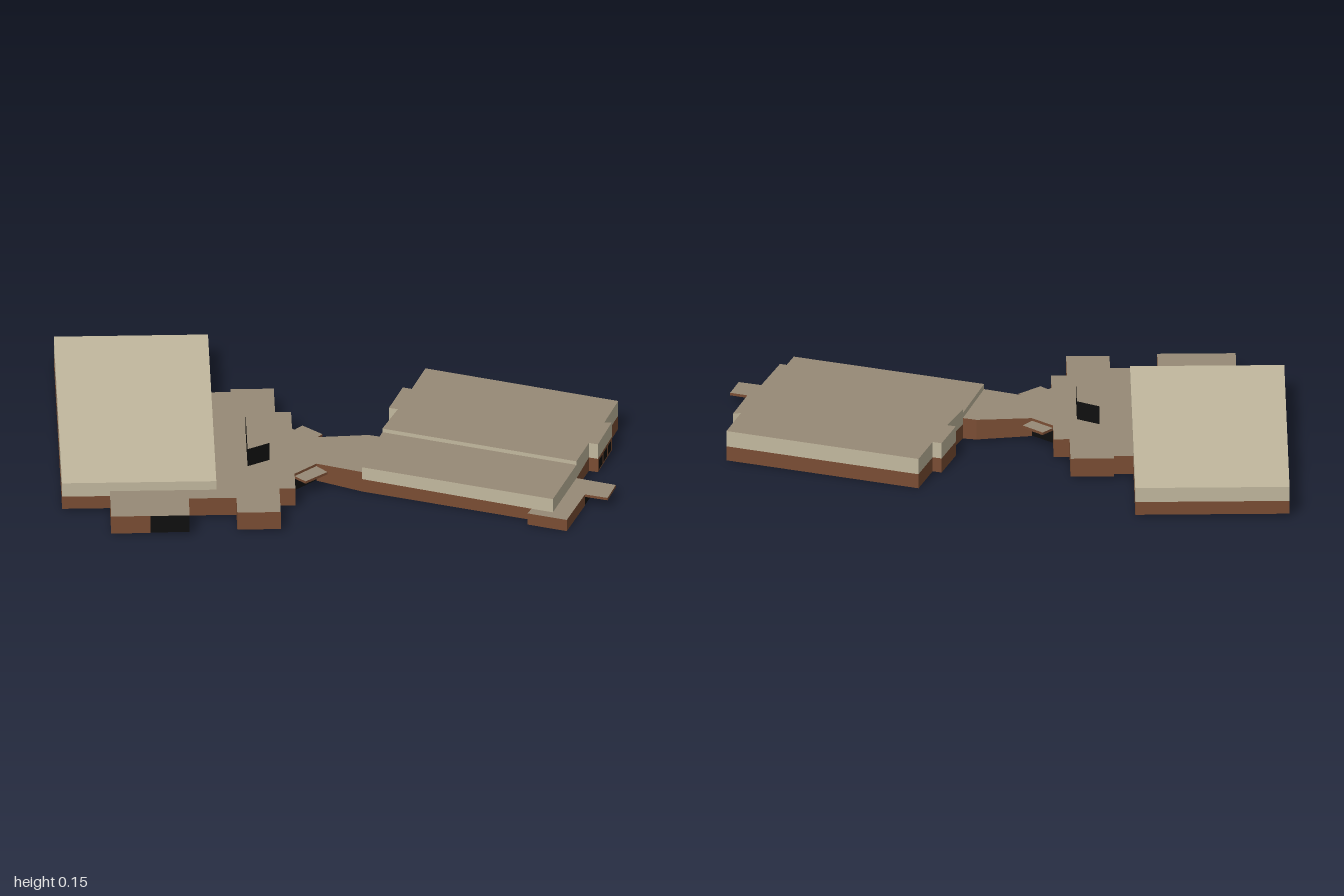
import * as THREE from 'three';

const mat = (name, color) => {
  const m = new THREE.MeshStandardMaterial({ color, side: THREE.DoubleSide });
  m.name = name;
  return m;
};

export function createModel() {
  const model = new THREE.Group();
  model.name = 'building';
  const brick = mat('brick', 0x7a4d33);
  const tan = mat('tan cladding', 0xc2b89e);
  const taupe = mat('taupe roofing', 0x978a76);
  const black = mat('dark glazing', 0x0e0e0e);

  const add = (name, geo, material) => {
    const mesh = new THREE.Mesh(geo, material);
    mesh.name = name;
    model.add(mesh);
  };

  // Upright strip along plan points [x, z]; bottom and top may vary along the path
  const wall = (name, pts, y0, y1, material) => {
    const at = (y, i) => (Array.isArray(y) ? y[i] : y);
    const v = [];
    for (let i = 0; i + 1 < pts.length; i++) {
      const [a, b] = [pts[i], pts[i + 1]];
      const a0 = [a[0], at(y0, i), a[1]], a1 = [a[0], at(y1, i), a[1]];
      const b0 = [b[0], at(y0, i + 1), b[1]], b1 = [b[0], at(y1, i + 1), b[1]];
      v.push(...a0, ...b0, ...b1, ...a0, ...b1, ...a1);
    }
    const g = new THREE.BufferGeometry();
    g.setAttribute('position', new THREE.Float32BufferAttribute(v, 3));
    g.computeVertexNormals();
    add(name, g, material);
  };

  // Flat roof over a plan outline
  const roof = (name, pts, y, material) => {
    const shape = new THREE.Shape(pts.map(([x, z]) => new THREE.Vector2(x, -z)));
    add(name, new THREE.ShapeGeometry(shape).rotateX(-Math.PI / 2).translate(0, y, 0), material);
  };

  // Thin projecting slab with a brick fascia
  const canopy = (name, pts, y0, y1) => {
    roof(name + 'Top', pts, y1, taupe);
    roof(name + 'Soffit', pts, y0, brick);
    wall(name + 'Fascia', [...pts, pts[0]], y0, y1, brick);
  };

  // Large rectangular hall
  const hall = [[-1, 0.42], [-0.45, 0.42], [-0.45, -0.62], [-1, -0.62]];
  roof('hallRoof', hall, 0.115, tan);
  wall('hallBrickBack', [[-0.45, -0.27], [-0.45, -0.62], [-1, -0.62], [-1, 0.42], [-0.83, 0.42]], 0.01, 0.06, brick);
  wall('hallCladding', [...hall, hall[0]], 0.06, 0.115, tan);

  // Central low block, broken at its doors
  const wingA = [[-0.83, 0.42], [-0.83, 0.6], [-0.69, 0.6]];
  const wingB = [[-0.55, 0.6], [-0.55, 0.48], [-0.38, 0.48], [-0.38, 0.585], [-0.225, 0.585],
    [-0.225, 0.42], [-0.168, 0.42], [-0.168, 0.315]];
  const linkFront = [[-0.088, 0.246], [0.072, 0.31]];
  const linkBack = [[0.152, 0.064], [0.104, 0.048], [-0.094, 0.059]];
  const rear = [[-0.168, -0.005], [-0.168, -0.123], [-0.225, -0.123], [-0.225, -0.29],
    [-0.38, -0.29], [-0.38, -0.27], [-0.45, -0.27]];
  roof('centralRoof', [...wingA, ...wingB, ...linkFront, ...linkBack, ...rear, [-0.45, 0.42]], 0.08, taupe);
  wall('wingWall', wingA, 0.01, 0.08, brick);
  wall('centralFrontWall', wingB, 0.01, 0.08, brick);
  wall('linkFrontWall', linkFront, [0.01, 0], 0.08, brick);
  wall('linkBackWall', linkBack, [0, 0.003, 0.01], 0.08, brick);
  wall('centralBackWall', rear, 0.01, 0.08, brick);
  wall('wingDoor', [[-0.69, 0.6], [-0.55, 0.6]], 0.012, 0.08, black);

  // Two diagonal entrances under canopies
  const entrances = [
    [[-0.168, 0.315], [-0.13, 0.353], [-0.05, 0.289], [-0.088, 0.246]],
    [[-0.094, 0.059], [-0.06, 0.02], [-0.13, -0.043], [-0.168, -0.005]],
  ];
  entrances.forEach((p, i) => {
    const line = [p[0], p[3]];
    wall('entranceDoor' + i, line, 0.012, 0.06, black);
    wall('entranceLintel' + i, line, 0.06, 0.08, brick);
    canopy('entranceCanopy' + i, p, 0.06, 0.07);
  });

  // Rooftop box
  const box = [[-0.334, 0.257], [-0.254, 0.214], [-0.254, 0.048], [-0.334, 0.003]];
  wall('rooftopBoxWalls', [...box, box[0]], 0.08, 0.15, black);
  roof('rooftopBoxTop', box, 0.15, taupe);

  // Angled building: taller rear part
  const west = [0.152, 0.064], east = [0.837, 0.316];
  const main = [east, [0.885, 0.187], [0.917, 0.198], [0.971, 0.043], [0.944, 0.044], [0.998, -0.107],
    [0.318, -0.358], [0.265, -0.214], [0.233, -0.225], [0.18, -0.082], [0.211, -0.071], west];
  const trim = main.map((p, i) => (i ? 0.055 : 0.045));
  roof('angledMainRoof', main, 0.115, taupe);
  wall('angledMainBrick', main, 0, trim, brick);
  wall('angledMainCladding', main, trim, 0.115, tan);
  wall('roofStep', [west, east], 0.1, 0.115, tan);

  // Angled building: lower front part
  const low = [west, [0.072, 0.31], [0.746, 0.556], east];
  roof('angledFrontRoof', low, 0.1, taupe);
  wall('angledFrontBrick', [[0.072, 0.31], [0.671, 0.529]], 0, [0.051, 0.046], brick);
  wall('angledFrontCladding', low, [0.08, 0.051, 0.045, 0.045], 0.1, tan);

  // Low corner porch with door and canopy
  const porch = [[0.671, 0.529], [0.655, 0.561], [0.794, 0.612], [0.864, 0.433]];
  const jamb = [0.9, 0.34];
  roof('porchRoof', [...porch, jamb, east, [0.746, 0.556]], 0.046, taupe);
  wall('porchWall', porch, 0, 0.046, brick);
  wall('porchReturn', [jamb, east], 0, 0.046, brick);
  wall('porchDoor', [porch[3], jamb], 0.003, 0.036, black);
  canopy('porchCanopy', [porch[3], [0.944, 0.46], [0.976, 0.369], jamb], 0.036, 0.046);

  // Three windows in the end bay, set just proud of the wall
  for (const [s, e] of [[0.02, 0.25], [0.34, 0.58], [0.65, 0.89]]) {
    const at = (t) => [0.917 + 0.054 * t + 0.003, 0.198 - 0.155 * t + 0.001];
    wall('bayWindow', [at(s), at(e)], 0.012, 0.05, black);
  }
  return model;
}
